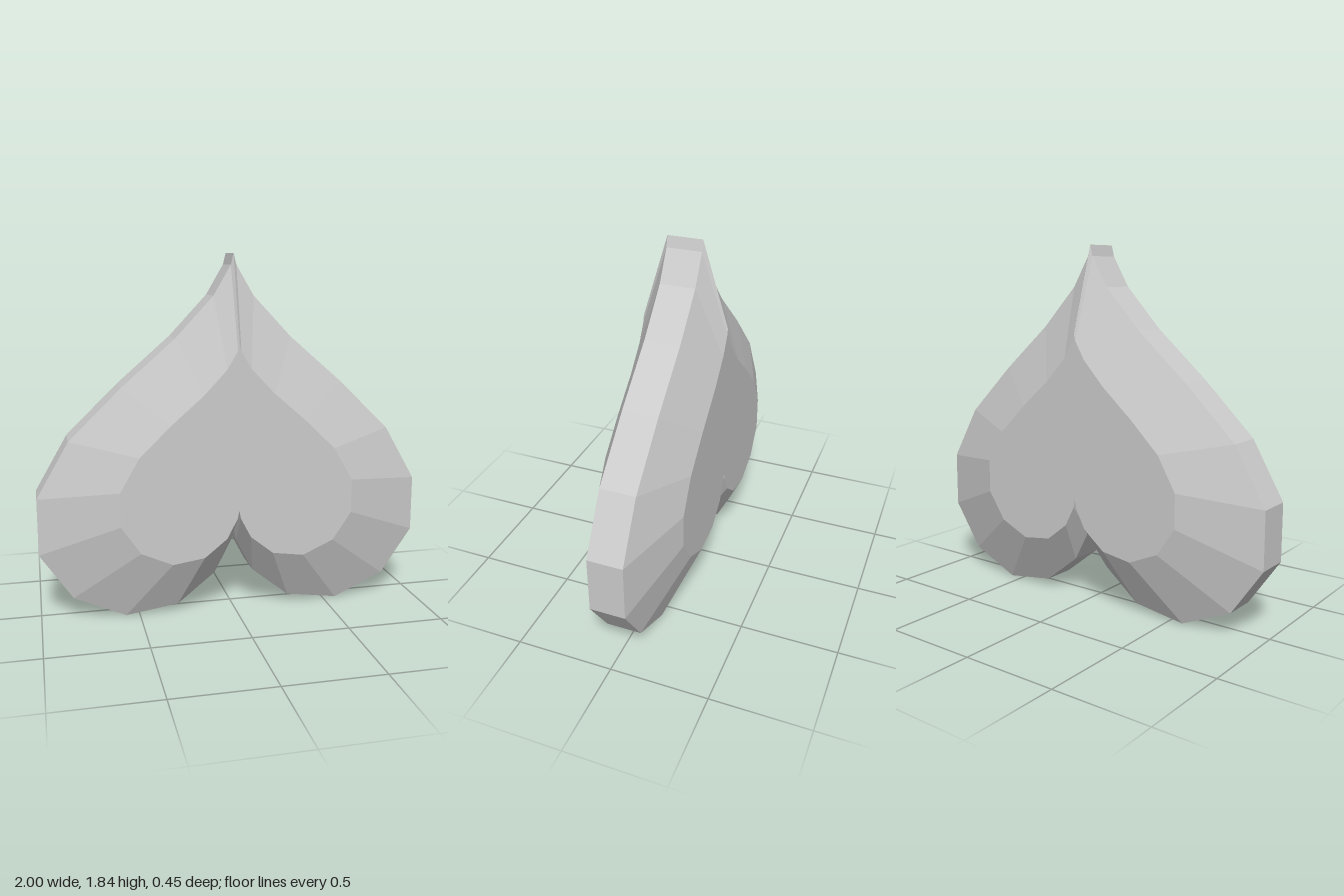
import * as THREE from 'three';

const SIDES = 26;
const S = 0.0639;       // curve units to model units
const CENTRE_Y = 0.754; // height the inner faces shrink towards

// Inverted heart outline, counter-clockwise seen from the front
function heartOutline(scale) {
  const points = [];
  for (let i = 0; i < SIDES; i++) {
    const t = (i / SIDES) * Math.PI * 2;
    const x = 16 * Math.sin(t) ** 3;
    const y = 13 * Math.cos(t) - 5 * Math.cos(2 * t) - 2 * Math.cos(3 * t) - Math.cos(4 * t);
    points.push(new THREE.Vector2(x * S * scale, CENTRE_Y - y * S * scale));
  }
  return points;
}

function heartGeometry() {
  const positions = [];
  const index = [];

  // Cross-sections from back to front: small face, rim, rim, small face
  const sections = [[0.6, -0.223], [1, -0.09], [1, 0.09], [0.6, 0.223]];
  for (const [scale, z] of sections) {
    for (const p of heartOutline(scale)) positions.push(p.x, p.y, z);
  }

  // Bevels and rim
  for (let r = 0; r < sections.length - 1; r++) {
    for (let i = 0; i < SIDES; i++) {
      const j = (i + 1) % SIDES;
      const a = r * SIDES + i, b = r * SIDES + j;
      const c = b + SIDES, d = a + SIDES;
      index.push(a, b, c, a, c, d);
    }
  }

  // Flat back and front faces
  const front = (sections.length - 1) * SIDES;
  for (const [a, b, c] of THREE.ShapeUtils.triangulateShape(heartOutline(0.6), [])) {
    index.push(front + a, front + b, front + c, a, c, b);
  }

  const geometry = new THREE.BufferGeometry();
  geometry.setAttribute('position', new THREE.Float32BufferAttribute(positions, 3));
  geometry.setIndex(index);
  const flat = geometry.toNonIndexed();
  flat.computeVertexNormals();
  return flat;
}

export function createModel() {
  const group = new THREE.Group();
  group.name = 'invertedHeart';
  const heart = new THREE.Mesh(
    heartGeometry(),
    new THREE.MeshStandardMaterial({ color: 0xcccccc, flatShading: true })
  );
  heart.name = 'heartBody';
  group.add(heart);
  return group;
}
